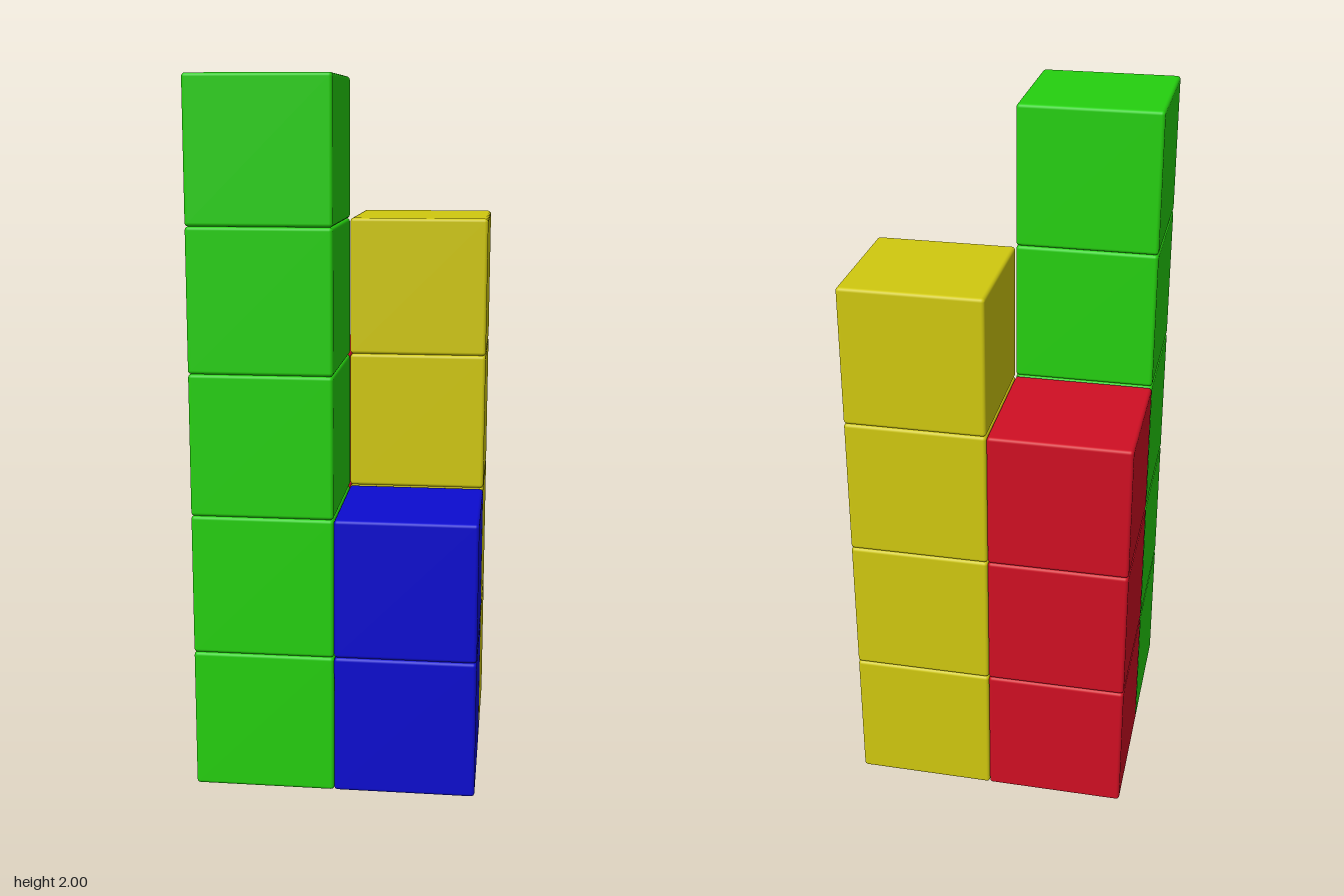
import * as THREE from 'three';
import { RoundedBoxGeometry } from 'three/addons/geometries/RoundedBoxGeometry.js';

const SIZE = 0.4; // edge length of one cube

// One stack of cubes per quadrant: colour, number of cubes, side in x and z
const STACKS = [
  { name: 'green', color: 0x25d00f, count: 5, x: -1, z: 1 },
  { name: 'yellow', color: 0xd0c80f, count: 4, x: 1, z: -1 },
  { name: 'red', color: 0xd00f23, count: 3, x: -1, z: -1 },
  { name: 'blue', color: 0x0c0cd0, count: 2, x: 1, z: 1 },
];

export function createModel() {
  const model = new THREE.Group();
  model.name = 'cubeStacks';

  // Cube with slightly softened edges
  const cube = new RoundedBoxGeometry(SIZE, SIZE, SIZE, 3, 0.01);

  for (const { name, color, count, x, z } of STACKS) {
    const material = new THREE.MeshStandardMaterial({ color });
    material.name = name;

    const stack = new THREE.Group();
    stack.name = `${name}Stack`;
    stack.position.set((x * SIZE) / 2, 0, (z * SIZE) / 2);

    for (let i = 0; i < count; i++) {
      const mesh = new THREE.Mesh(cube, material);
      mesh.name = `${name}Cube${i + 1}`;
      mesh.position.y = (i + 0.5) * SIZE;
      stack.add(mesh);
    }
    model.add(stack);
  }
  return model;
}
